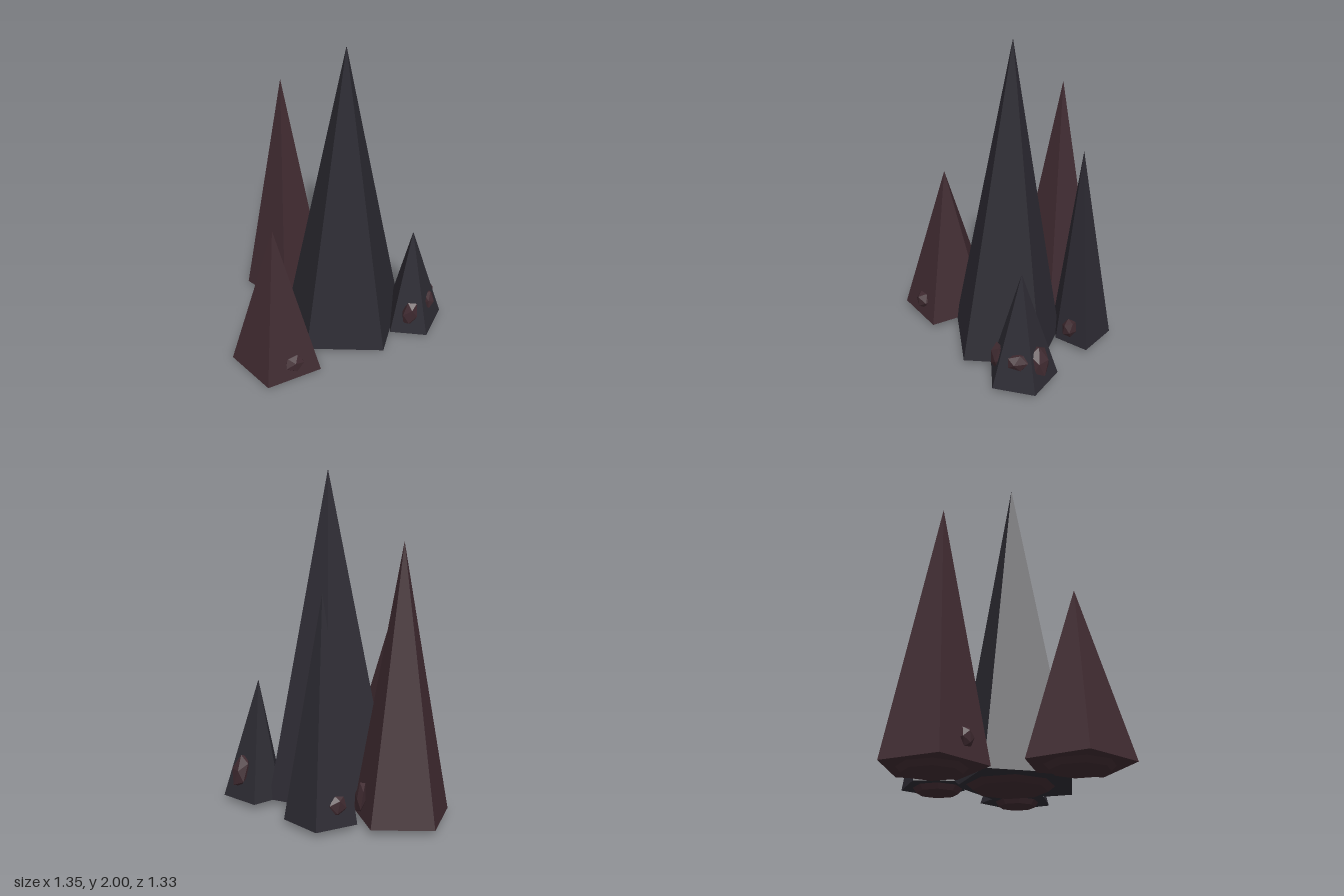
import * as THREE from 'three';

const BASE_Y = 0.03;
const slate = new THREE.MeshStandardMaterial({ color: 0x2c2a32, flatShading: true });
const brown = new THREE.MeshStandardMaterial({ color: 0x3f2a30, flatShading: true });

// Five-sided spike: apex [x, y, z] above an uneven base ring of [x, z] corners (clockwise from above)
function spikeGeometry(apex, ring) {
  const pos = [];
  const centre = [0, BASE_Y, 0];
  ring.forEach(([x, z]) => { centre[0] += x / ring.length; centre[2] += z / ring.length; });
  ring.forEach(([x, z], i) => {
    const [nx, nz] = ring[(i + 1) % ring.length];
    const a = [x, BASE_Y, z], b = [nx, BASE_Y, nz];
    pos.push(...apex, ...b, ...a, ...a, ...b, ...centre);
  });
  const g = new THREE.BufferGeometry();
  g.setAttribute('position', new THREE.Float32BufferAttribute(pos, 3));
  g.computeVertexNormals();
  return g;
}

// Each spike: apex, base ring, foot radius, and whether it is brown
const spikes = [
  { name: 'mainSpike', apex: [0.03, 2, -0.03], foot: 0.25, mat: slate,
    ring: [[0.03, -0.34], [0.39, -0.165], [0.295, 0.305], [-0.2, 0.32], [-0.36, -0.13]] },
  { name: 'backRightSpike', apex: [-0.39, 1.6, -0.395], foot: 0.19, mat: brown,
    ring: [[-0.56, -0.64], [-0.205, -0.63], [-0.12, -0.305], [-0.39, -0.09], [-0.675, -0.305]] },
  { name: 'backSpike', apex: [0.06, 1.32, -0.45], foot: 0.14, mat: slate,
    ring: [[0.095, -0.667], [0.28, -0.475], [0.13, -0.305], [-0.1, -0.325], [-0.135, -0.55]] },
  { name: 'frontRightSpike', apex: [-0.37, 1.03, 0.365], foot: 0.19, mat: brown,
    ring: [[-0.515, 0.095], [-0.235, 0.135], [-0.095, 0.485], [-0.405, 0.66], [-0.665, 0.42]] },
  { name: 'leftSpike', apex: [0.455, 0.745, -0.035], foot: 0.13, mat: slate,
    ring: [[0.47, -0.26], [0.67, -0.093], [0.575, 0.152], [0.337, 0.137], [0.32, -0.14]] },
];

// Small stones: centre, half sizes, turn about y, tilt about z
const stones = [
  [[-0.26, 0.13, 0.53], [0.07, 0.065, 0.06], 0.5, 0.1],
  [[-0.41, 0.15, 0.155], [0.05, 0.06, 0.035], 0.2, 0.2],
  [[0.46, 0.18, 0.11], [0.055, 0.105, 0.045], 0.1, -0.15],
  [[0.56, 0.2, -0.13], [0.05, 0.11, 0.07], 0.6, 0.3],
  [[0.575, 0.215, -0.01], [0.045, 0.06, 0.08], 0.1, 0.1],
  [[0.21, 0.16, -0.375], [0.05, 0.07, 0.05], 0.4, -0.2],
  [[-0.02, 0.15, -0.575], [0.06, 0.07, 0.035], 0.4, 0.2],
  [[-0.155, 0.15, -0.44], [0.03, 0.1, 0.08], 0.1, 0.15],
  [[-0.51, 0.15, -0.2], [0.05, 0.06, 0.03], -0.6, 0.1],
];

export function createModel() {
  const model = new THREE.Group();
  model.name = 'rockSpikes';

  for (const { name, apex, ring, foot, mat } of spikes) {
    const spike = new THREE.Mesh(spikeGeometry(apex, ring), mat);
    spike.name = name;
    model.add(spike);

    // Low flared foot under the spike
    const base = new THREE.Mesh(new THREE.CylinderGeometry(foot, foot * 0.85, BASE_Y, 8), brown);
    base.name = name + 'Foot';
    base.position.set(apex[0], BASE_Y / 2, apex[2]);
    base.rotation.y = 0.2;
    model.add(base);
  }

  // Stones stuck to the spike sides
  for (const [centre, size, turn, tilt] of stones) {
    const stone = new THREE.Mesh(new THREE.IcosahedronGeometry(1, 0), brown);
    stone.name = 'stone';
    stone.position.set(...centre);
    stone.scale.set(...size);
    stone.rotation.set(0, turn, tilt);
    model.add(stone);
  }
  return model;
}
